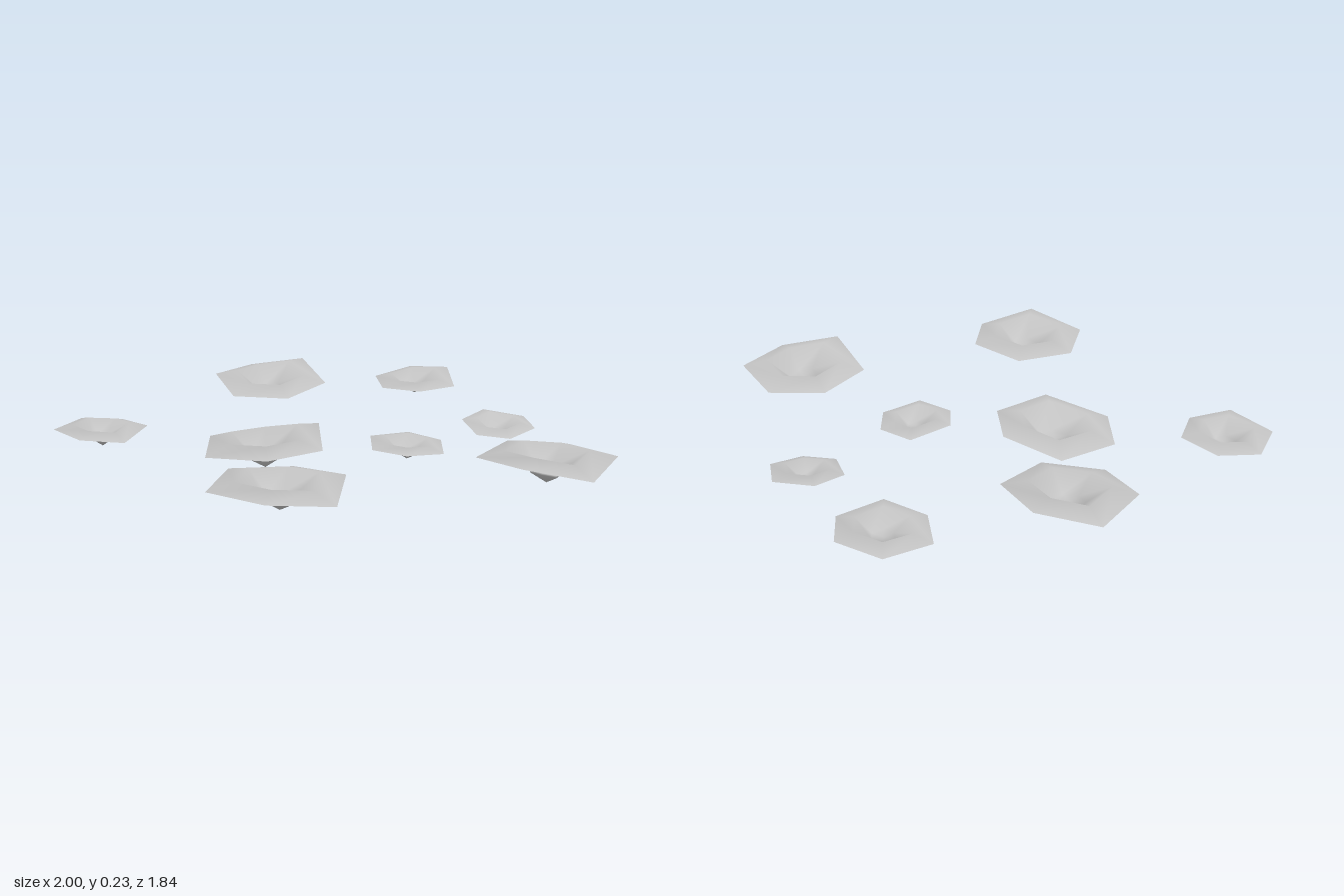
import * as THREE from 'three';

const greyCap = new THREE.MeshStandardMaterial({ color: 0xc4c4c4, side: THREE.DoubleSide });

const mean = (corners, k) => corners.reduce((t, c) => t + c[k], 0) / corners.length;

// Joins shrinking copies of the rim outline: each ring is [scale, height]; the last ring is a point
function loft(corners, rings, faceDown) {
  const n = corners.length, pos = [], index = [];
  const [cx, cy, cz] = [0, 1, 2].map(k => mean(corners, k));
  const add = (a, b, c) => (faceDown ? index.push(a, c, b) : index.push(a, b, c));
  for (const [s, h] of rings) {
    for (const [x, y, z] of s > 0 ? corners : [[cx, cy, cz]]) {
      pos.push(cx + (x - cx) * s, h + (y - cy) * s, cz + (z - cz) * s);
    }
  }
  for (let r = 0; r < rings.length - 1; r++) {
    const toPoint = rings[r + 1][0] === 0;
    for (let i = 0; i < n; i++) {
      const a = r * n + i, b = r * n + (i + 1) % n;
      if (toPoint) add(b, a, (r + 1) * n);
      else {
        add(b, a, a + n);
        add(b, a + n, b + n);
      }
    }
  }
  const geo = new THREE.BufferGeometry();
  geo.setAttribute('position', new THREE.Float32BufferAttribute(pos, 3));
  geo.setIndex(index);
  geo.computeVertexNormals();
  return geo;
}

// One funnel-shaped cap with a pointed base; rim corners [x, y, z] run clockwise seen from above
function funnel(name, tipY, corners) {
  const rimY = mean(corners, 1), d = rimY - tipY;
  const group = new THREE.Group();
  group.name = name;
  const add = (part, rings, faceDown) => {
    const mesh = new THREE.Mesh(loft(corners, rings, faceDown), greyCap);
    mesh.name = part;
    group.add(mesh);
  };
  // drooping rim, raised crest, throat and closed floor
  add('funnelCap', [[1, rimY], [0.6, rimY + 0.28 * d], [0.24, rimY - 0.48 * d], [0, rimY - 0.52 * d]], false);
  // pointed base tucked under the throat
  add('pointedBase', [[0.19, rimY - 0.53 * d], [0.24, rimY - 0.58 * d], [0, tipY]], true);
  return group;
}

export function createModel() {
  const model = new THREE.Group();
  model.name = 'funnelCluster';
  model.add(
    funnel('backFunnel', 0.055, [
      [-0.11, 0.118, -0.92], [0.06, 0.135, -0.92], [0.155, 0.108, -0.75],
      [0.06, 0.115, -0.6], [-0.11, 0.105, -0.615], [-0.205, 0.105, -0.76]]),
    funnel('backLeftFunnel', 0.015, [
      [0.34, 0.085, -0.58], [0.5, 0.073, -0.6], [0.58, 0.069, -0.49],
      [0.52, 0.055, -0.37], [0.395, 0.06, -0.345], [0.295, 0.075, -0.455]]),
    funnel('backRightFunnel', 0.08, [
      [-0.68, 0.16, -0.53], [-0.47, 0.195, -0.595], [-0.28, 0.16, -0.42],
      [-0.34, 0.147, -0.205], [-0.555, 0.143, -0.155], [-0.725, 0.172, -0.31]]),
    funnel('smallCentreFunnel', 0.05, [
      [0.185, 0.098, -0.17], [0.325, 0.097, -0.14], [0.385, 0.095, -0.01],
      [0.29, 0.112, 0.11], [0.15, 0.107, 0.09], [0.09, 0.114, -0.03]]),
    funnel('largeCentreFunnel', 0, [
      [-0.355, 0.075, -0.045], [-0.13, 0.125, -0.05], [-0.01, 0.105, 0.165],
      [-0.13, 0.112, 0.36], [-0.39, 0.08, 0.345], [-0.49, 0.082, 0.14]]),
    funnel('leftFunnel', 0.085, [
      [0.6, 0.16, -0.07], [0.805, 0.152, -0.145], [1, 0.178, -0.025],
      [0.98, 0.17, 0.225], [0.77, 0.212, 0.315], [0.56, 0.168, 0.16]]),
    funnel('rightFunnel', 0.05, [
      [-1, 0.11, 0.235], [-0.86, 0.105, 0.17], [-0.71, 0.118, 0.225],
      [-0.69, 0.11, 0.405], [-0.82, 0.13, 0.495], [-1, 0.118, 0.41]]),
    funnel('frontFunnel', 0.1, [
      [0.04, 0.168, 0.49], [0.25, 0.187, 0.53], [0.325, 0.175, 0.76],
      [0.165, 0.213, 0.92], [-0.085, 0.187, 0.85], [-0.13, 0.18, 0.625]]));
  return model;
}
